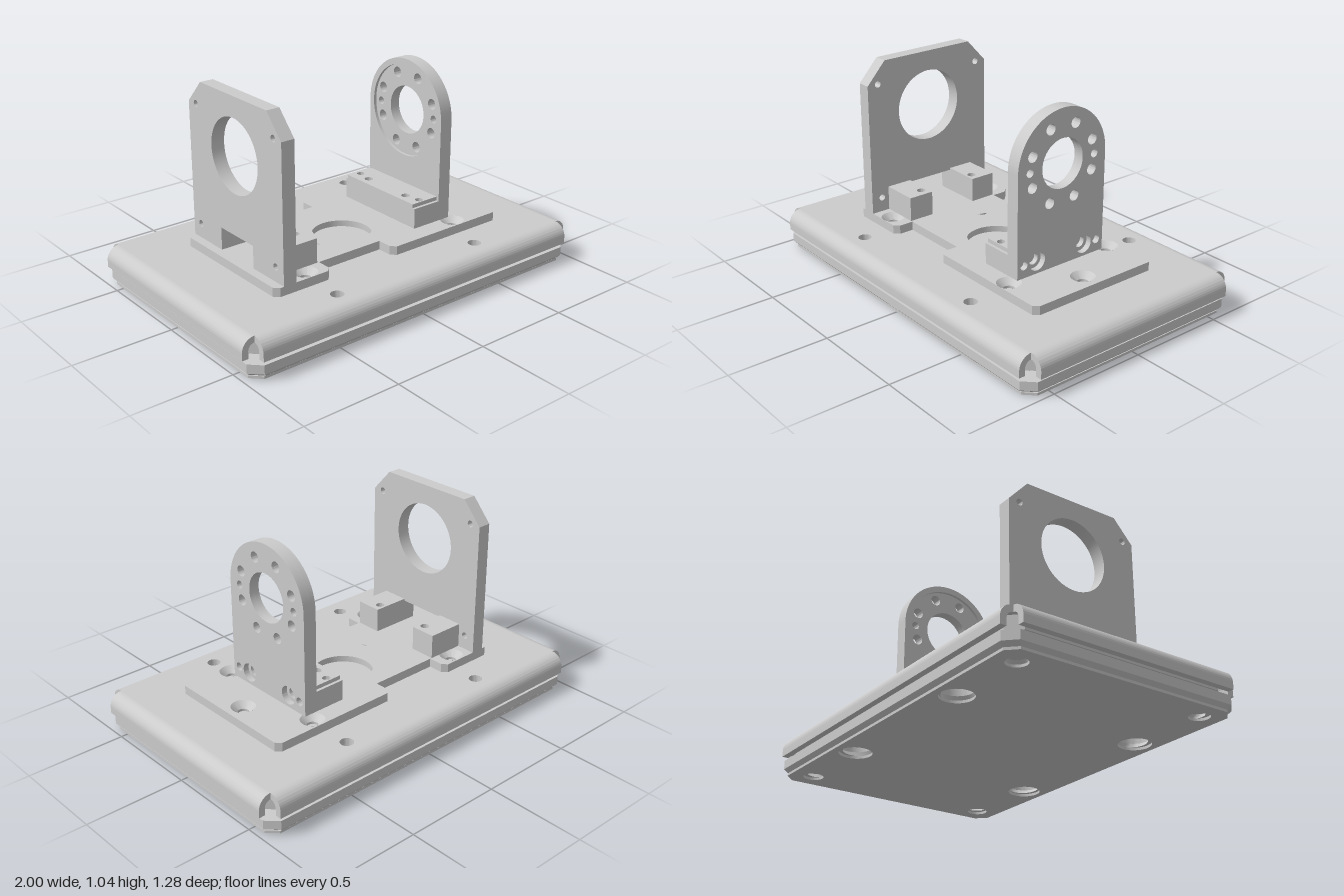
import * as THREE from 'three';
import { toCreasedNormals } from 'three/addons/utils/BufferGeometryUtils.js';

const grey = new THREE.MeshStandardMaterial({ color: 0xcccccc });
const greyDouble = new THREE.MeshStandardMaterial({ color: 0xcccccc, side: THREE.DoubleSide });
const SIGNS = [-1, 1];

// Mirrored hole lists, each hole is [u, v, radius]
const mirrorU = (list) => list.flatMap(([u, v, r]) => SIGNS.map((s) => [s * u, v, r]));
const mirrorV = (list) => list.flatMap(([u, v, r]) => SIGNS.map((s) => [u, s * v, r]));

function outline(points) {
  return new THREE.Shape(points.map(([x, y]) => new THREE.Vector2(x, y)));
}

// Rectangle with chamfered corners
function chamfered(w, h, c) {
  return outline([[w, -h + c], [w, h - c], [w - c, h], [-w + c, h],
    [-w, h - c], [-w, -h + c], [-w + c, -h], [w - c, -h]]);
}

function rectangle(x0, x1, y0, y1) {
  return outline([[x0, y0], [x1, y0], [x1, y1], [x0, y1]]);
}

function extrude(shape, holes, depth) {
  for (const [u, v, r] of holes) {
    shape.holes.push(new THREE.Path().absarc(u, v, r, 0, Math.PI * 2, true));
  }
  return new THREE.ExtrudeGeometry(shape, { depth, bevelEnabled: false, curveSegments: 24 });
}

function addMesh(group, name, geometry, material = grey) {
  const mesh = new THREE.Mesh(toCreasedNormals(geometry, 0.5), material);
  mesh.name = name;
  group.add(mesh);
  return mesh;
}

// Horizontal slab, shape drawn in x and -z
function slabY(group, name, shape, holes, y0, y1) {
  const g = extrude(shape, holes, y1 - y0).rotateX(-Math.PI / 2).translate(0, y0, 0);
  return addMesh(group, name, g);
}

// Upright slab, shape drawn in -z and y
function slabX(group, name, shape, holes, x0, x1) {
  const g = extrude(shape, holes, x1 - x0).rotateY(Math.PI / 2).translate(x0, 0, 0);
  return addMesh(group, name, g);
}

function buildBase(group) {
  const large = mirrorU(mirrorV([[0.43, 0.5, 0.08]]));
  const feet = mirrorU(mirrorV([[0.855, 0.5, 0.05]]));
  slabY(group, 'basePlate', chamfered(0.98, 0.63, 0.055), large, 0.033, 0.078);
  slabY(group, 'baseBottom', chamfered(0.965, 0.612, 0.05), [...large, ...feet], 0, 0.013);

  // Tapered band between the two plates
  const g = extrude(chamfered(0.98, 0.63, 0.055), [...large, ...feet], 0.02);
  const p = g.attributes.position;
  for (let i = 0; i < p.count; i++) {
    if (p.getZ(i) < 0.01) p.setXY(i, p.getX(i) * 0.98, p.getY(i) * 0.971);
  }
  addMesh(group, 'baseTaper', g.rotateX(-Math.PI / 2).translate(0, 0.013, 0));
}

// Bent edge of the cover, drawn as a cross-section starting at its inner edge
function flange(length) {
  const s = new THREE.Shape();
  s.moveTo(0, 0.168);
  s.absarc(0, 0.135, 0.033, Math.PI / 2, 0, true);
  s.lineTo(0.033, 0.1);
  s.lineTo(0.065, 0.1);
  s.lineTo(0.065, 0.135);
  s.absarc(0, 0.135, 0.065, 0, Math.PI / 2, false);
  return extrude(s, [], length).translate(0, 0, -length / 2);
}

function buildCover(group) {
  const bolts = mirrorU(mirrorV([[0.43, 0.5, 0.033]]));
  slabY(group, 'neck', rectangle(-0.89, 0.89, -0.545, 0.545), bolts, 0.078, 0.1);
  slabY(group, 'innerBody', chamfered(0.95, 0.59, 0.06), bolts, 0.1, 0.168);
  slabY(group, 'coverTop', rectangle(-0.935, 0.935, -0.575, 0.575),
    [...bolts, [0, 0, 0.15]], 0.168, 0.2);
  for (let i = 0; i < 4; i++) {
    const side = i % 2 === 0;
    const g = flange(side ? 1.15 : 1.87).translate(side ? 0.935 : 0.575, 0, 0);
    addMesh(group, side ? 'sideFlange' : 'longFlange', g.rotateY(i * Math.PI / 2));
  }
}

function buildMount(group) {
  const c = 0.025;
  const half = [[-0.67, 0.365 - c], [-0.67 + c, 0.365], [-0.35 - c, 0.365], [-0.35, 0.365 - c],
    [-0.35, 0.265], [0.02, 0.265], [0.02, 0.365 - c], [0.02 + c, 0.365],
    [0.72 - c, 0.365], [0.72, 0.365 - c]];
  const points = [...half, ...half.map(([x, y]) => [x, -y]).reverse()];
  const screws = [...mirrorV([[-0.46, 0.305, 0.06], [0.465, 0.305, 0.06]]), [0.63, 0, 0.06]];
  const holes = [...screws, ...mirrorV([[-0.255, 0.105, 0.027]])];
  slabY(group, 'mountPlateLower', outline(points), [...holes, [0, 0, 0.15]], 0.2, 0.222);
  slabY(group, 'mountPlateUpper', outline(points), [...holes, [0, 0, 0.218]], 0.222, 0.245);

  // Conical screw seats
  const seat = [[0.06, 0.245], [0.028, 0.215], [0.028, 0.203], [0, 0.203]]
    .map(([x, y]) => new THREE.Vector2(x, y));
  for (const [x, v] of screws) {
    addMesh(group, 'screwSeat', new THREE.LatheGeometry(seat, 24).translate(x, 0, -v), greyDouble);
  }
}

function buildTallBracket(group) {
  const half = [[0.13, 0.36], [0.13, 0.245], [0.365, 0.245], [0.365, 0.93], [0.26, 1.045]];
  const points = [...half, ...half.map(([u, v]) => [-u, v]).reverse()];
  const holes = [[0, 0.757, 0.185], ...mirrorU([[0.305, 0.93, 0.017], [0.305, 0.32, 0.017]])];
  slabX(group, 'tallPlate', outline(points), holes, -0.625, -0.555);
  for (const s of SIGNS) {
    const edges = [0.13 * s, 0.265 * s].sort((a, b) => a - b);
    slabY(group, 'tallPlateFoot', rectangle(-0.555, -0.36, ...edges),
      [[-0.41, 0.163 * s, 0.022]], 0.245, 0.37);
  }
}

function archShape() {
  const s = new THREE.Shape();
  s.moveTo(-0.265, 0.245);
  s.lineTo(0.265, 0.245);
  s.lineTo(0.265, 0.76);
  s.absarc(0, 0.76, 0.265, 0, Math.PI, false);
  return s;
}

function buildArchBracket(group) {
  const bolts = mirrorU([[0.075, 0.937, 0.027], [0.18, 0.832, 0.027], [0.195, 0.757, 0.02],
    [0.18, 0.682, 0.027], [0.075, 0.578, 0.027]]);
  const through = [[0, 0.757, 0.123], ...bolts];
  const pins = mirrorU([[0.225, 0.307, 0.021]]);
  // Stacked layers form the screw counterbores and the round inner recess
  slabX(group, 'archPlateOuter', archShape(),
    [...through, ...pins, ...mirrorU([[0.145, 0.307, 0.047]])], 0.445, 0.475);
  slabX(group, 'archPlateMiddle', archShape(),
    [...through, ...mirrorU([[0.145, 0.307, 0.028]])], 0.42, 0.445);
  slabX(group, 'archPlateInner', archShape(), [[0, 0.757, 0.237]], 0.405, 0.42);

  const holes = mirrorV([[0.31, 0.225, 0.02], [0.295, 0.142, 0.022]]);
  slabY(group, 'archFoot', rectangle(0.245, 0.405, -0.265, 0.265), [], 0.245, 0.35);
  slabY(group, 'archFootTop', rectangle(0.245, 0.405, -0.25, 0.25), holes, 0.35, 0.37);
}

export function createModel() {
  const model = new THREE.Group();
  model.name = 'bracketFixture';
  const parts = { base: buildBase, cover: buildCover, mount: buildMount,
    tallBracket: buildTallBracket, archBracket: buildArchBracket };
  for (const [name, build] of Object.entries(parts)) {
    const group = new THREE.Group();
    group.name = name;
    build(group);
    model.add(group);
  }
  return model;
}
